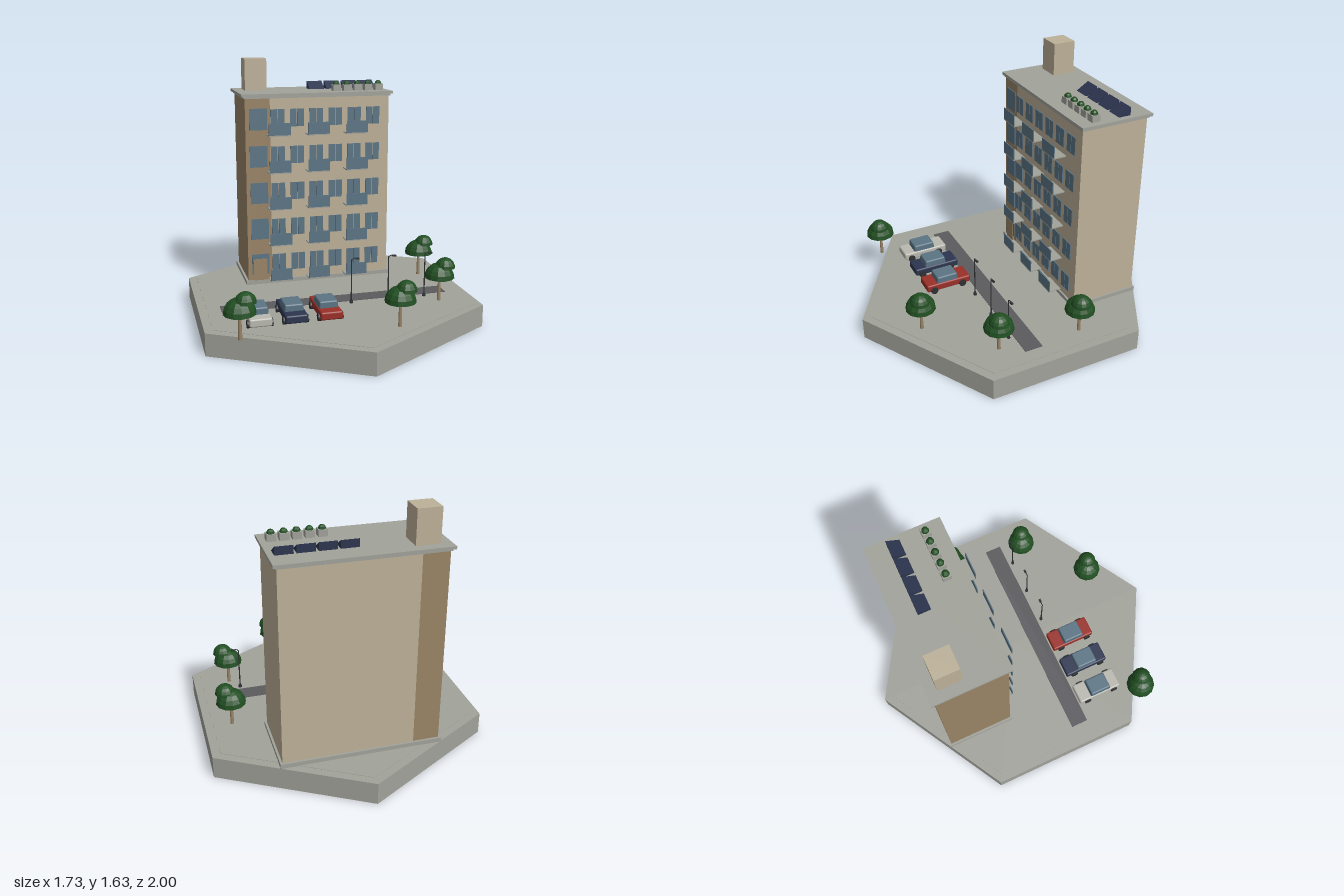
import * as THREE from 'three';
import { RoundedBoxGeometry } from 'three/addons/geometries/RoundedBoxGeometry.js';

const mat = (name, color) => Object.assign(new THREE.MeshStandardMaterial({ color }), { name });

export function createModel() {
  const concrete = mat('concrete', 0xa1a29a), wall = mat('cream wall', 0xbcb098);
  const brown = mat('brown', 0x998466), glass = mat('blue glass', 0x5b7484);
  const asphalt = mat('asphalt', 0x5b5a5e), red = mat('red paint', 0x9a2f28);
  const navy = mat('navy', 0x2c3550), leaf = mat('leaf green', 0x214f22);
  const white = mat('pale paint', 0xb9b8b0), dark = mat('dark metal', 0x2f3134);

  const model = new THREE.Group();
  model.name = 'apartmentBlock';

  const group = (name, parent = model) => {
    const g = new THREE.Group();
    g.name = name;
    parent.add(g);
    return g;
  };
  const add = (parent, name, geometry, material, x = 0, y = 0, z = 0) => {
    const m = new THREE.Mesh(geometry, material);
    m.name = name;
    m.position.set(x, y, z);
    parent.add(m);
    return m;
  };
  // Box given by its lower and upper limits on each axis
  const box = (parent, name, material, x0, x1, y0, y1, z0, z1) =>
    add(parent, name, new THREE.BoxGeometry(x1 - x0, y1 - y0, z1 - z0), material,
      (x0 + x1) / 2, (y0 + y1) / 2, (z0 + z1) / 2);
  const faceted = (geometry) => {
    const g = geometry.toNonIndexed();
    g.computeVertexNormals();
    return g;
  };

  // Hexagonal ground with a very thin inner paving and the road
  const G = 0.14;
  add(model, 'groundSlab', new THREE.CylinderGeometry(1, 1, G, 6).toNonIndexed(), concrete, 0, G / 2, 0);
  model.children[0].geometry = faceted(model.children[0].geometry.clone().index ? model.children[0].geometry : new THREE.CylinderGeometry(1, 1, G, 6));
  add(model, 'paving', faceted(new THREE.CylinderGeometry(0.94, 0.94, 0.002, 6)), concrete, 0, G + 0.001, 0);
  box(model, 'road', asphalt, -0.73, 0.73, G, G + 0.005, 0.106, 0.222);

  // Building shell
  const building = group('building');
  const zFront = -0.257, zBack = -0.7;
  box(building, 'plinth', concrete, -0.503, 0.5, G, 0.168, -0.715, -0.245);
  box(building, 'stairTower', brown, -0.488, -0.325, 0.168, 1.395, zBack, zFront);
  box(building, 'apartmentWalls', wall, -0.325, 0.486, 0.168, 1.395, zBack, zFront);
  box(building, 'cornice', concrete, -0.497, 0.495, 1.388, 1.4, -0.71, -0.25);
  box(building, 'roofSlab', concrete, -0.511, 0.509, 1.4, 1.418, -0.724, -0.24);
  box(building, 'roofHouse', wall, -0.444, -0.296, 1.418, 1.63, -0.66, -0.51);
  box(building, 'entranceDoor', brown, -0.453, -0.36, 0.168, 0.316, zFront, zFront + 0.009);

  // Windows and balconies, floor by floor
  for (let floor = 0; floor < 5; floor++) {
    const y = 0.181 + floor * 0.244;
    const facade = group('floor' + (floor + 1), building);
    box(facade, 'stairWindow', glass, -0.462, -0.346, y + 0.027, y + 0.167, zFront, zFront + 0.006);
    for (let i = 0; i < 6; i++) {
      const x = -0.277 + i * 0.13;
      for (const s of [-1, 1]) {
        const c = x + s * 0.024;
        box(facade, 'windowPane', glass, c - 0.022, c + 0.022, y + 0.045, y + 0.16, zFront, zFront + 0.006);
      }
      if (i % 2) continue;
      box(facade, 'balconyFloor', concrete, x - 0.073, x + 0.073, y - 0.007, y, zFront, -0.171);
      box(facade, 'balconyRail', glass, x - 0.073, x + 0.073, y, y + 0.078, -0.177, -0.171);
    }
  }

  // Solar panels: wedges rising toward the back
  const wedge = new THREE.Shape([[0, 0], [0.08, 0], [0.08, 0.05]].map(p => new THREE.Vector2(...p)));
  const panelGeo = new THREE.ExtrudeGeometry(wedge, { depth: 0.106, bevelEnabled: false });
  panelGeo.rotateY(Math.PI / 2);
  for (let i = 0; i < 4; i++) add(building, 'solarPanel', panelGeo, navy, i * 0.122, 1.418, -0.508);

  // Roof planters
  const bushGeo = faceted(new THREE.SphereGeometry(0.024, 8, 6));
  for (let i = 0; i < 5; i++) {
    const x = 0.148 + i * 0.0735;
    box(building, 'planter', concrete, x - 0.027, x + 0.027, 1.418, 1.46, -0.381, -0.328);
    add(building, 'planterBush', bushGeo, leaf, x, 1.46, -0.355);
  }

  // Parked cars
  const bodyGeo = new RoundedBoxGeometry(0.134, 0.05, 0.306, 2, 0.01);
  const cabGeo = new RoundedBoxGeometry(0.12, 0.055, 0.15, 2, 0.01);
  const cabPos = cabGeo.attributes.position;
  for (let i = 0; i < cabPos.count; i++) {
    const k = cabPos.getY(i) > 0 ? 0.94 : 1;
    cabPos.setX(i, cabPos.getX(i) * k);
    cabPos.setZ(i, cabPos.getZ(i) * k);
  }
  const wheelGeo = new THREE.CylinderGeometry(0.024, 0.024, 0.02, 12).rotateZ(Math.PI / 2);
  [[-0.545, white], [-0.333, navy], [-0.122, red]].forEach(([x, paint]) => {
    const car = group('car');
    car.position.set(x, G, 0.381);
    add(car, 'carBody', bodyGeo, paint, 0, 0.041, 0);
    add(car, 'carCabin', cabGeo, glass, 0, 0.079, 0.006);
    for (const sx of [-1, 1])
      for (const z of [-0.095, 0.107]) add(car, 'wheel', wheelGeo, dark, sx * 0.067, 0.025, z);
  });

  // Trees: trunk with two offset half-dome crowns
  const dome = (r) => {
    const profile = [new THREE.Vector2(0, 0)];
    for (let i = 0; i <= 5; i++) {
      const a = (i / 5) * Math.PI / 2;
      profile.push(new THREE.Vector2(i === 5 ? 0 : r * Math.cos(a), r * Math.sin(a)));
    }
    return faceted(new THREE.LatheGeometry(profile, 12));
  };
  const lowGeo = dome(0.094), highGeo = dome(0.063);
  const trunkGeo = new THREE.CylinderGeometry(0.008, 0.012, 0.165, 8);
  for (const [x, z] of [[0.693, -0.17], [0.63, 0.35], [0.243, 0.693], [-0.683, 0.64]]) {
    const tree = group('tree');
    tree.position.set(x, G, z);
    add(tree, 'trunk', trunkGeo, brown, 0, 0.0825, 0);
    add(tree, 'lowerCrown', lowGeo, leaf, 0, 0.155, 0);
    add(tree, 'upperCrown', highGeo, leaf, 0.032, 0.221, 0.012);
  }

  // Street lamps
  const poleGeo = new THREE.CylinderGeometry(0.0035, 0.0045, 0.285, 8);
  const footGeo = new THREE.CylinderGeometry(0.01, 0.012, 0.02, 8);
  const armGeo = new THREE.TubeGeometry(new THREE.QuadraticBezierCurve3(
    new THREE.Vector3(0, 0.28, 0), new THREE.Vector3(0.004, 0.296, 0), new THREE.Vector3(0.034, 0.293, 0)), 6, 0.003, 6);
  for (const x of [0.079, 0.323, 0.568]) {
    const lamp = group('streetLamp');
    lamp.position.set(x, G, 0.254);
    add(lamp, 'lampFoot', footGeo, dark, 0, 0.01, 0);
    add(lamp, 'lampPole', poleGeo, dark, 0, 0.1425, 0);
    add(lamp, 'lampArm', armGeo, dark);
    box(lamp, 'lampHead', dark, 0.026, 0.048, 0.285, 0.293, -0.007, 0.007);
  }

  return model;
}
